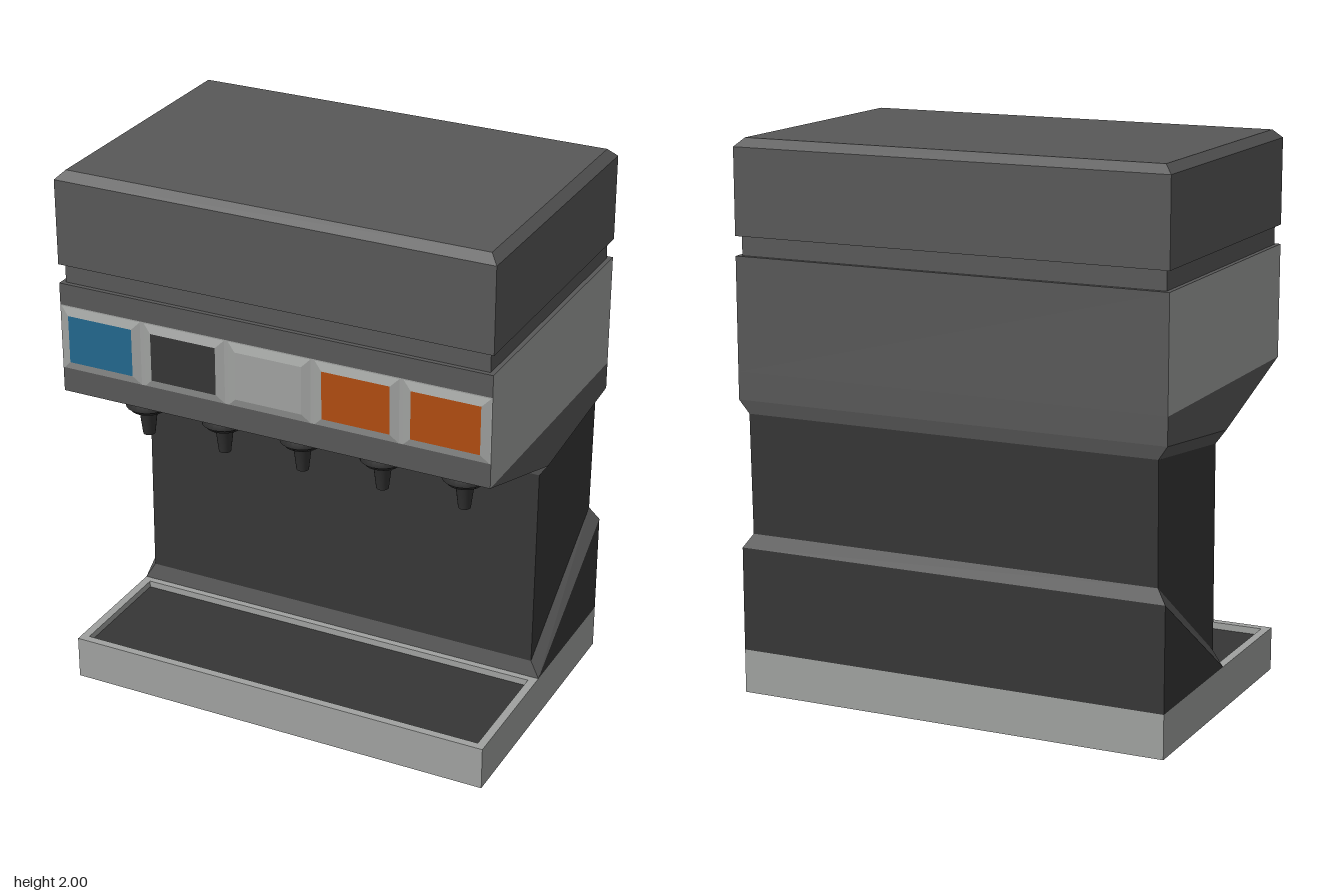
import * as THREE from 'three';

const mat = (name, color) => {
  const m = new THREE.MeshStandardMaterial({ color });
  m.name = name;
  return m;
};

// Rectangular ring that may tilt front to back: half width, front y/z, back y/z
const ring = (x, yf, zf, yb, zb) => [[x, yf, zf], [-x, yf, zf], [-x, yb, zb], [x, yb, zb]];
const level = (x, y, zf, zb) => ring(x, y, zf, y, zb);

// Flat-faced mesh from four-cornered faces
function faces(name, material, quads) {
  const pos = quads.flatMap(([a, b, c, d]) => [a, b, c, a, c, d].flat());
  const g = new THREE.BufferGeometry();
  g.setAttribute('position', new THREE.Float32BufferAttribute(pos, 3));
  g.computeVertexNormals();
  const mesh = new THREE.Mesh(g, material);
  mesh.name = name;
  return mesh;
}

const FRONT = 0, RIGHT = 1, BACK = 2, LEFT = 3;
const ALL = [FRONT, RIGHT, BACK, LEFT];
// Wall faces between a lower and an upper ring
const wall = (lo, up, sides = ALL) => sides.map((i) => {
  const j = (i + 1) % 4;
  return [lo[j], lo[i], up[i], up[j]];
});
const capUp = (r) => [r[3], r[2], r[1], r[0]];
const capDown = (r) => [r[0], r[1], r[2], r[3]];

export function createModel() {
  const model = new THREE.Group();
  model.name = 'drinkDispenser';
  const light = mat('lightGrey', 0xa0a2a0);
  const grey = mat('darkGrey', 0x585858);
  const charcoal = mat('charcoal', 0x363636);
  const blue = mat('blue', 0x22688e);
  const orange = mat('orange', 0xb04c10);
  const add = (name, material, quads) => model.add(faces(name, material, quads));
  const W = 0.81, F = 0.52, B = -0.53;

  // Lid with chamfered top, above a shallow groove
  const lidTop = level(W - 0.03, 2, F - 0.03, B + 0.03);
  const lidEdge = level(W, 1.97, F, B), lidBase = level(W, 1.66, F, B);
  add('lid', grey, [capUp(lidTop), ...wall(lidEdge, lidTop), ...wall(lidBase, lidEdge), capDown(lidBase)]);
  const inset = (y) => level(W - 0.017, y, F - 0.017, B + 0.017);
  add('lidGroove', grey, wall(inset(1.59), inset(1.66)));

  // Head: pale sides, dark back, banded front
  const headTop = level(W, 1.59, F, B), headBase = level(W, 1.18, F, B);
  const bandTop = level(W, 1.51, F, B), bandBase = level(W, 1.27, F, B);
  add('headSides', light, wall(headBase, headTop, [RIGHT, LEFT]));
  add('headShell', grey, [
    capUp(headTop), ...wall(headBase, headTop, [BACK]),
    ...wall(bandTop, headTop, [FRONT]), ...wall(headBase, bandBase, [FRONT]),
  ]);
  add('buttonBand', light, wall(bandBase, bandTop, [FRONT]));

  // Sloped lower head and column, from top to bottom
  const shoulder = ring(W, 1.02, 0.01, 1.08, B);
  const columnTop = ring(0.775, 0.97, 0, 1.03, -0.52);
  const columnBase = ring(0.775, 0.22, 0.01, 0.59, -0.51);
  const footTop = ring(W, 0.16, 0.02, 0.54, B);
  const footBase = level(W, 0.16, 0.02, B);
  add('lowerHead', grey, wall(shoulder, headBase, [RIGHT, BACK, LEFT]));
  add('columnShoulder', grey, wall(columnTop, shoulder));
  add('column', charcoal, wall(columnBase, columnTop));
  add('footBevel', grey, wall(footTop, columnBase));
  add('foot', charcoal, wall(footBase, footTop, [RIGHT, BACK, LEFT]));

  // Recessed sloping underside with a narrow rim
  const rimOuter = ring(W, 1.18, F, 1.02, 0.01);
  const rimInner = ring(W - 0.025, 1.172, F - 0.025, 1.036, 0.06);
  const ceiling = ring(W - 0.025, 1.212, F - 0.025, 1.076, 0.06);
  add('undersideRim', grey, wall(rimInner, rimOuter));
  add('undersideRecess', charcoal, [...wall(ceiling, rimInner), capDown(ceiling)]);

  // Bevelled selection buttons with coloured faces
  [blue, charcoal, light, orange, orange].forEach((colour, i) => {
    const x = (i - 2) * 0.325, y = 1.388;
    const rect = (w, h, z) => [[x - w, y - h, z], [x + w, y - h, z], [x + w, y + h, z], [x - w, y + h, z]];
    const outer = rect(0.155, 0.118, F), inner = rect(0.125, 0.088, 0.53);
    const bevel = ALL.map((k) => [outer[k], outer[(k + 1) % 4], inner[(k + 1) % 4], inner[k]]);
    add('buttonFrame', light, bevel);
    add('buttonFace', colour, [inner]);
  });

  // Row of nozzles
  const profile = [[0, 0.94], [0.022, 0.94], [0.034, 1.04], [0.065, 1.04], [0.065, 1.055],
    [0.08, 1.055], [0.08, 1.14], [0, 1.14]].map(([r, y]) => new THREE.Vector2(r, y));
  const smooth = new THREE.LatheGeometry(profile, 24);
  for (let i = 0; i < 5; i++) {
    const nozzle = new THREE.Mesh(smooth, charcoal);
    nozzle.name = 'nozzle';
    nozzle.position.set((i - 2) * 0.309 - 0.005, 0, 0.27);
    model.add(nozzle);
  }

  // Base with a sunken drip tray in front of the column
  const bottom = level(W, 0, F, B), top = level(W, 0.16, F, B);
  const rimFront = level(W, 0.16, F, 0.01);
  const trayTop = level(W - 0.03, 0.16, F - 0.03, 0.045);
  const trayFloor = level(W - 0.03, 0.135, F - 0.03, 0.045);
  add('base', light, [capDown(bottom), ...wall(bottom, top)]);
  add('trayRim', light, [...wall(rimFront, trayTop), ...wall(trayTop, trayFloor)]);
  add('trayFloor', charcoal, [capUp(trayFloor)]);

  return model;
}
